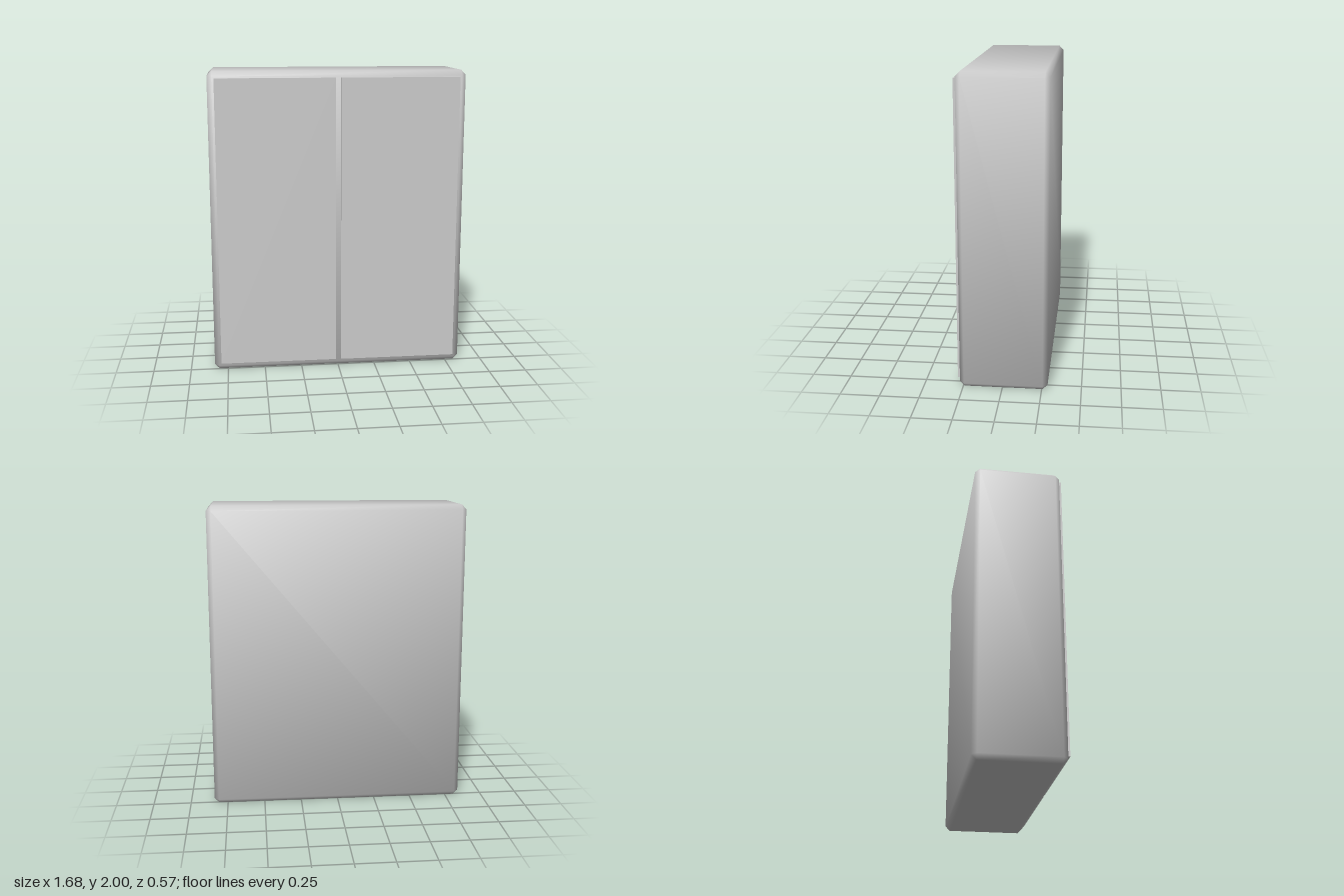
import * as THREE from 'three';
import { ConvexGeometry } from 'three/addons/geometries/ConvexGeometry.js';

// Box with one-step chamfered edges and soft normals blended across the chamfers
function chamferedBox(w, h, d, c) {
  const half = [w / 2, h / 2, d / 2];
  const points = [];
  for (let axis = 0; axis < 3; axis++) {
    for (const sx of [-1, 1]) for (const sy of [-1, 1]) for (const sz of [-1, 1]) {
      const p = [sx, sy, sz].map((s, i) => s * (half[i] - (i === axis ? 0 : c)));
      points.push(new THREE.Vector3(...p));
    }
  }
  const geometry = new ConvexGeometry(points);
  const pos = geometry.attributes.position;
  const normal = geometry.attributes.normal;
  for (let i = 0; i < pos.count; i++) {
    const p = [pos.getX(i), pos.getY(i), pos.getZ(i)];
    // Lean mostly along the face the corner lies on
    const n = p.map((v, k) => Math.sign(v) * (half[k] - Math.abs(v) < c / 2 ? 4.4 : 1.7));
    normal.setXYZ(i, ...new THREE.Vector3(...n).normalize().toArray());
  }
  return geometry;
}

export function createModel() {
  const group = new THREE.Group();
  const material = new THREE.MeshStandardMaterial({ color: 0xcccccc });

  // Cabinet body
  const back = -0.287, front = 0.272;
  const body = new THREE.Mesh(chamferedBox(1.68, 2, front - back, 0.031), material);
  body.name = 'cabinetBody';
  body.position.set(0, 1, (front + back) / 2);
  group.add(body);

  // Two thin door panels on the front, separated by a narrow gap
  const inner = 0.017, outer = 0.795, bottom = 0.05, top = 1.957, doorFront = 0.287;
  const thickness = 0.025;
  for (const [side, name] of [[1, 'leftDoor'], [-1, 'rightDoor']]) {
    const door = new THREE.Mesh(
      new THREE.BoxGeometry(outer - inner, top - bottom, thickness), material);
    door.name = name;
    door.position.set(side * (inner + outer) / 2, (top + bottom) / 2, doorFront - thickness / 2);
    group.add(door);
  }
  return group;
}
